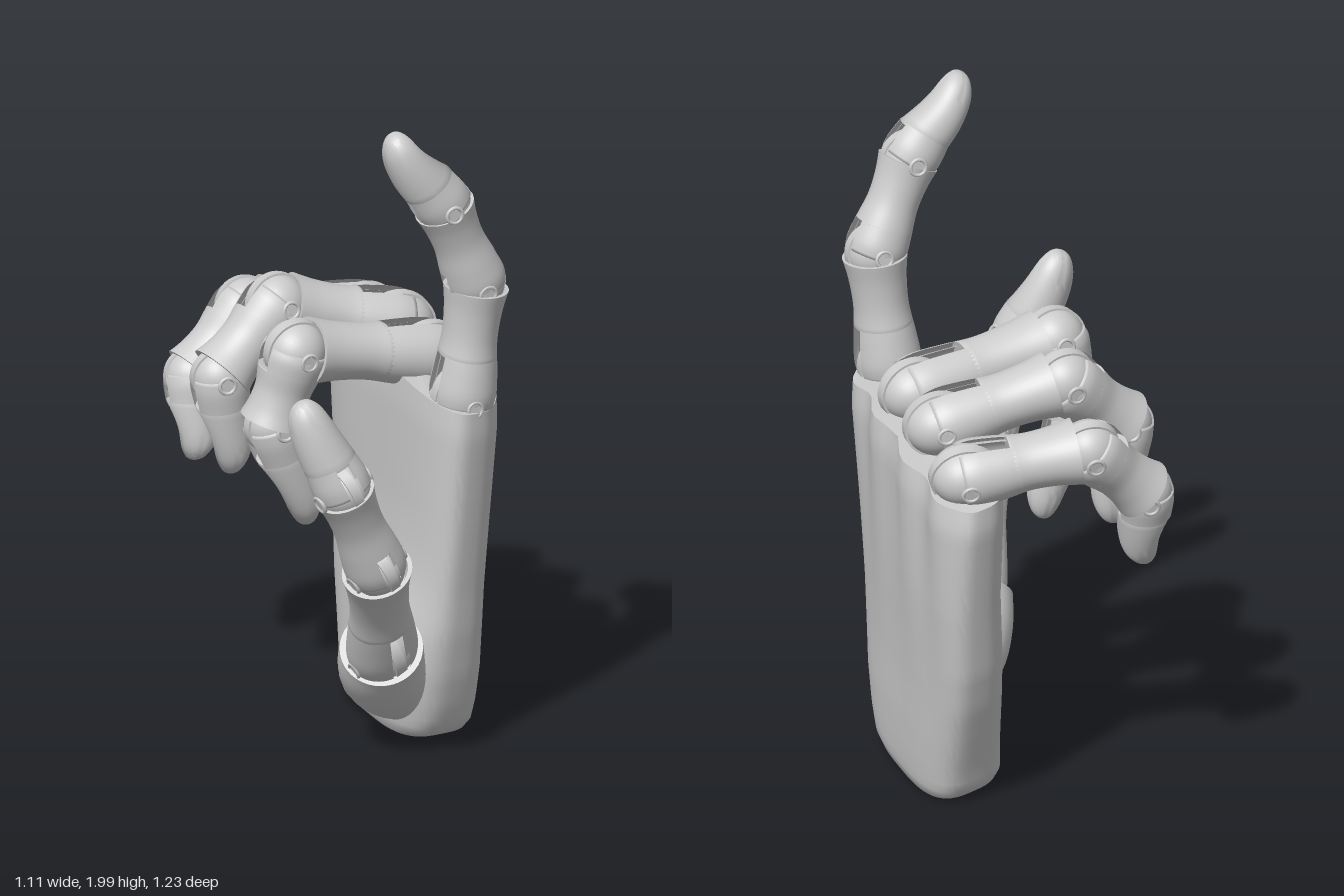
import * as THREE from 'three';
import { toCreasedNormals } from 'three/addons/utils/BufferGeometryUtils.js';

const solid = new THREE.MeshStandardMaterial({ color: 0xcccccc });
const shell = new THREE.MeshStandardMaterial({ color: 0xcccccc, side: THREE.DoubleSide });
const V = (x, y, z) => new THREE.Vector3(x, y, z);

function add(parent, name, geometry, material = solid) {
  const mesh = new THREE.Mesh(geometry, material);
  mesh.name = name;
  parent.add(mesh);
  return mesh;
}

// Closed rings of points, joined row by row into one skin
function loft(rows) {
  const n = rows[0].length, index = [];
  for (let j = 0; j < rows.length - 1; j++) {
    for (let i = 0; i < n; i++) {
      const a = j * n + i, b = j * n + (i + 1) % n;
      index.push(a, b, a + n, b, b + n, a + n);
    }
  }
  const g = new THREE.BufferGeometry().setFromPoints(rows.flat());
  g.setIndex(index);
  return toCreasedNormals(g, 0.7);
}

// Piecewise table lookup: rows are [t, a, b, ...]
function lookup(table, t) {
  let k = 0;
  while (k < table.length - 2 && t > table[k + 1][0]) k++;
  const [p, q] = [table[k], table[k + 1]];
  const f = (t - p[0]) / (q[0] - p[0]);
  return p.slice(1).map((v, i) => THREE.MathUtils.lerp(v, q[i + 1], f));
}

// Palm: rounded sections, tilted from index to little finger, with tendon ridges
function palmGeometry() {
  // t, zMin, zMax, mid x at zMin, mid x at zMax, half thickness
  const table = [
    [0, -0.205, 0.32, 0.33, 0.15, 0.14], [0.03, -0.235, 0.355, 0.335, 0.15, 0.15],
    [0.1, -0.255, 0.385, 0.35, 0.145, 0.15], [0.2, -0.29, 0.413, 0.37, 0.14, 0.148],
    [0.33, -0.335, 0.437, 0.395, 0.132, 0.144], [0.45, -0.365, 0.45, 0.415, 0.13, 0.142],
    [0.65, -0.395, 0.478, 0.443, 0.126, 0.14], [0.93, -0.44, 0.515, 0.465, 0.122, 0.142],
    [1, -0.435, 0.515, 0.46, 0.122, 0.133]];
  const pow = (v) => Math.sign(v) * Math.abs(v) ** 0.66;
  const ring = (t, scale) => {
    const [z0, z1, m0, m1, th] = lookup(table, t);
    return Array.from({ length: 96 }, (_, i) => {
      const a = i / 96 * Math.PI * 2;
      const z = (z0 + z1) / 2 + (z1 - z0) / 2 * pow(Math.cos(a)) * scale;
      const s = pow(Math.sin(a));
      const f = (z - z0) / (z1 - z0);
      const ridge = s > 0 ? 0.018 * t ** 3 * Math.cos((z - 0.42) / 0.245 * Math.PI * 2) * s : 0;
      // Swelling that carries the palm into the thumb
      const swell = Math.min(0, s) * 0.06 * Math.exp(-((t - 0.25) ** 2 + (z - 0.24) ** 2) / 0.03);
      const x = m0 + (m1 - m0) * f + (th * s + ridge + swell) * scale;
      const bottom = 0.05 - 0.1 * x;
      const top = 1.035 + 0.09 * Math.min(1, f * 1.5) - 0.02 * Math.max(0, f - 0.7) / 0.3 - 0.012 * s;
      return V(x, bottom + t * (top - bottom), z);
    });
  };
  const rows = [ring(0, 0), ring(0, 0.5), ring(0, 0.95)];
  for (let j = 0; j <= 36; j++) rows.push(ring(0.01 + 0.99 * j / 36, 1));
  rows.push(ring(1, 0.93), ring(1, 0.5), ring(1, 0));
  return loft(rows);
}

// Thumb mount growing out of the heel of the palm
function thumbMountGeometry() {
  const curve = new THREE.CatmullRomCurve3(
    [V(0.19, 0.22, 0.2), V(0.055, 0.24, 0.22), V(-0.035, 0.3, 0.27), V(-0.085, 0.37, 0.32)]);
  const steps = 20, frames = curve.computeFrenetFrames(steps);
  const rows = [];
  const ring = (j, r) => {
    const c = curve.getPointAt(j / steps);
    return Array.from({ length: 40 }, (_, i) => {
      const a = i / 40 * Math.PI * 2;
      return c.clone().addScaledVector(frames.normals[j], r * Math.cos(a))
        .addScaledVector(frames.binormals[j], r * Math.sin(a));
    });
  };
  rows.push(ring(0, 0));
  for (let j = 0; j <= steps; j++) rows.push(ring(j, 0.122 + 0.045 * (1 - j / steps) ** 1.2));
  rows.push(ring(steps, 0.1), ring(steps - 2, 0.09), ring(steps - 2, 0));
  return loft(rows);
}

function lathe(points, start = 0, length = Math.PI * 2) {
  const g = new THREE.LatheGeometry(points, length > 6 ? 40 : 18, start, length);
  return length > 6 ? toCreasedNormals(g, 0.6) : g;
}

// Smooth profile sampled between two fractions of the bone length
function profile(keys, R, L, from, to, count) {
  const curve = new THREE.SplineCurve(keys.map(([t, r]) => new THREE.Vector2(r * R, t * L)));
  return curve.getPoints(80).filter((p) => p.y >= from * L && p.y <= to * L)
    .filter((_, i, all) => i % Math.ceil(all.length / count) === 0 || i === all.length - 1);
}

const boneKeys = (end) => [[-0.05, 0.98], [0.08, 1.05], [0.28, 0.98], [0.55 * end, 0.87], [0.8 * end, 0.91], [end, 1.03]];
const tipKeys = [[-0.05, 0.98], [0.1, 1.02], [0.3, 0.94], [0.5, 0.87], [0.7, 0.77], [0.85, 0.63],
  [0.95, 0.41], [0.99, 0.19], [1, 0]];

// One finger bone: y along the bone, x along the hinge, z toward the palm side.
// end is where its far collar stops; 0 makes a rounded fingertip
function bone(name, a, b, hinge, R, end, fork, flat) {
  const g = new THREE.Group();
  g.name = name;
  const axis = b.clone().sub(a), L = axis.length();
  axis.normalize();
  const x = hinge.clone().addScaledVector(axis, -hinge.dot(axis)).normalize();
  g.matrix.makeBasis(x, axis, x.clone().cross(axis)).setPosition(a);
  g.matrix.decompose(g.position, g.quaternion, g.scale);
  g.scale.z = flat;

  // Solid body above the fork
  const keys = end ? boneKeys(end) : tipKeys;
  const pts = profile(keys, R, L, fork, 1, 22);
  pts.unshift(new THREE.Vector2(0, fork * L - 0.005), new THREE.Vector2(pts[0].x * 0.98, fork * L - 0.002));
  if (end) {
    const rim = pts[pts.length - 1], floor = (end - 0.08) * L;
    pts.push(new THREE.Vector2(rim.x * 0.88, rim.y), new THREE.Vector2(R * 0.8, floor), new THREE.Vector2(0, floor));
  }
  const body = lathe(pts);
  if (!end) {
    // Fingertip is flatter and bows toward the palm side
    const p = body.attributes.position;
    for (let i = 0; i < p.count; i++) {
      const t = Math.max(0, (p.getY(i) / L - fork) / (1 - fork));
      p.setZ(i, p.getZ(i) * (1 - 0.12 * Math.min(1, t * 2)) + 0.016 * Math.sin(Math.PI * t));
    }
  }
  add(g, 'boneBody', body, shell);

  // Two fork cheeks with slots on the back and palm sides
  const wall = profile(keys, R, L, -0.04, fork + 0.02, 10);
  const inner = wall.map((p) => new THREE.Vector2(p.x * 0.84, p.y)).reverse();
  const gap = 0.3;
  for (const start of [gap, Math.PI + gap]) {
    add(g, 'forkCheek', lathe([...inner, ...wall], start, Math.PI - 2 * gap), shell);
  }

  // Hinge: ball, centre rib and pin with its rims
  add(g, 'jointBall', new THREE.SphereGeometry(R * 0.95, 32, 20));
  const rib = add(g, 'jointRib', toCreasedNormals(new THREE.CylinderGeometry(R, R, R * 0.36, 36), 0.6));
  const pin = add(g, 'hingePin', toCreasedNormals(new THREE.CylinderGeometry(0.018, 0.018, R * 2.06, 16), 0.6));
  rib.rotation.z = pin.rotation.z = Math.PI / 2;
  for (const side of [-1, 1]) {
    const rim = add(g, 'pinRim', new THREE.TorusGeometry(0.024, 0.006, 8, 20));
    rim.rotation.y = Math.PI / 2;
    rim.position.x = side * R * 1.01;
  }
  return g;
}

function finger(name, joints, radii, ends) {
  const g = new THREE.Group();
  g.name = name;
  const p = joints.map((j) => V(...j));
  const hinge = p[1].clone().sub(p[0]).cross(p[3].clone().sub(p[2])).normalize();
  const names = ['proximalBone', 'middleBone', 'fingertip'];
  names.forEach((n, i) => g.add(bone(n, p[i], p[i + 1], hinge, radii[i], ends[i], i ? 0.28 : 0.38, i ? 1 : 0.9)));
  return g;
}

export function createModel() {
  const hand = new THREE.Group();
  hand.name = 'hand';
  add(hand, 'palm', palmGeometry());
  add(hand, 'thumbMount', thumbMountGeometry());

  // name, joint positions, bone radii, collar ends
  const straight = [0.97, 0.97, 0], curled = [0.9, 0.95, 0];
  const fingers = [
    ['thumb', [[-0.085, 0.36, 0.325], [-0.27, 0.72, 0.505], [-0.42, 1.01, 0.525], [-0.525, 1.29, 0.45]], [0.104, 0.088, 0.085], straight],
    ['indexFinger', [[0.15, 1.12, 0.41], [0.18, 1.48, 0.44], [0.06, 1.75, 0.43], [-0.105, 1.995, 0.385]], [0.103, 0.088, 0.086], straight],
    ['middleFinger', [[0.26, 1.16, 0.155], [-0.175, 1.245, 0.045], [-0.235, 1.02, 0.01], [-0.12, 0.69, 0.04]], [0.106, 0.096, 0.085], curled],
    ['ringFinger', [[0.355, 1.16, -0.085], [0.01, 1.26, -0.24], [-0.19, 1.08, -0.27], [-0.15, 0.77, -0.26]], [0.106, 0.096, 0.085], curled],
    ['littleFinger', [[0.44, 1.1, -0.315], [0.115, 1.155, -0.49], [-0.07, 0.98, -0.52], [-0.1, 0.735, -0.475]], [0.104, 0.092, 0.083], curled],
  ];
  for (const f of fingers) hand.add(finger(...f));
  return hand;
}
